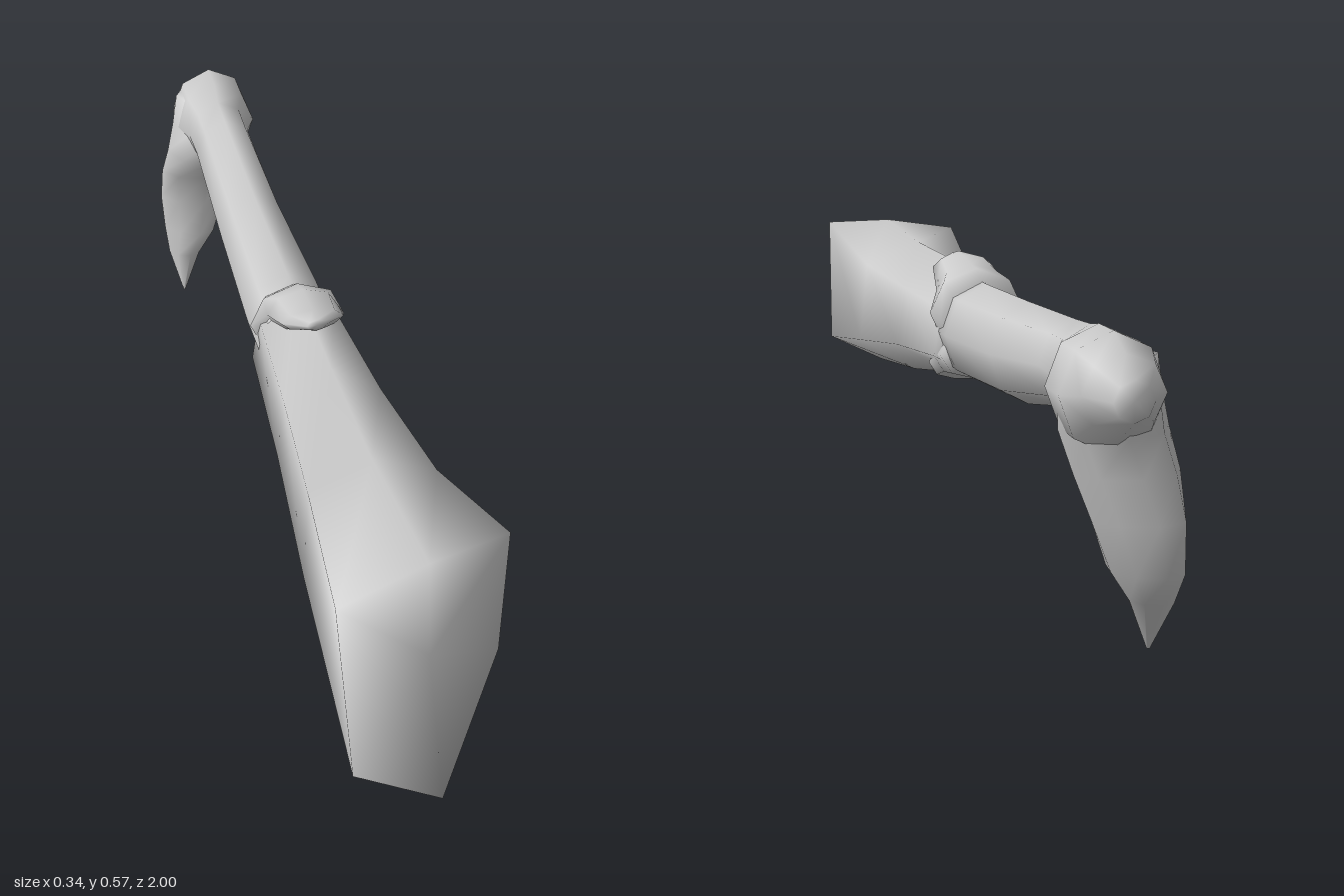
import * as THREE from 'three';

const material = new THREE.MeshStandardMaterial({ color: 0xcccccc, side: THREE.DoubleSide });

// Closed smooth skin over a row of rings; rings run counterclockwise seen from the start.
function skin(name, rings) {
  const n = rings[0].length;
  const positions = rings.flat(2);
  const index = [];
  for (let i = 0; i < rings.length - 1; i++) {
    for (let j = 0; j < n; j++) {
      const k = (j + 1) % n;
      const a = i * n + j, b = a + n, c = i * n + k, d = c + n;
      index.push(a, b, c, c, b, d);
    }
  }
  // end caps
  [0, rings.length - 1].forEach((r, end) => {
    const center = [0, 1, 2].map(q => rings[r].reduce((s, p) => s + p[q], 0) / n);
    const ci = positions.length / 3;
    positions.push(...center);
    for (let j = 0; j < n; j++) {
      const a = r * n + j, b = r * n + (j + 1) % n;
      if (end) index.push(ci, b, a);
      else index.push(ci, a, b);
    }
  });
  const geometry = new THREE.BufferGeometry();
  geometry.setAttribute('position', new THREE.Float32BufferAttribute(positions, 3));
  geometry.setIndex(index);
  geometry.computeVertexNormals();
  const mesh = new THREE.Mesh(geometry, material);
  mesh.name = name;
  return mesh;
}

// Eight-sided ring filling the box x0..x1, y0..y1 at depth z
function ringZ([z, x0, x1, y0, y1]) {
  return Array.from({ length: 8 }, (_, j) => {
    const t = j * Math.PI / 4;
    return [(x0 + x1) / 2 + Math.cos(t) * (x1 - x0) / 2, (y0 + y1) / 2 + Math.sin(t) * (y1 - y0) / 2, z];
  });
}

// Eight-sided ring filling the box x0..x1, z0..z1 at height y; skew swings the back towards -x
function ringY([y, x0, x1, z0, z1, skew = 0]) {
  return Array.from({ length: 8 }, (_, j) => {
    const t = j * Math.PI / 4;
    return [(x0 + x1) / 2 + Math.cos(t) * (x1 - x0) / 2 - skew * Math.sin(t), y,
      (z0 + z1) / 2 - Math.sin(t) * (z1 - z0) / 2];
  });
}

export function createModel() {
  const model = new THREE.Group();
  model.name = 'leg';

  // thigh: slanted six-sided hip end narrowing to the knee
  model.add(skin('thigh', [
    [[0.175, 0.25, 0.78], [0.175, 0.54, 0.785], [0.02, 0.537, 0.825],
      [-0.153, 0.507, 0.865], [-0.153, 0.243, 1], [0.01, 0.14, 1]],
    [[0.143, 0.29, 0.52], [0.125, 0.47, 0.52], [0.0, 0.52, 0.52],
      [-0.12, 0.46, 0.52], [-0.135, 0.28, 0.55], [0.0, 0.2, 0.58]],
    [[0.105, 0.33, 0.25], [0.09, 0.46, 0.25], [-0.01, 0.525, 0.25],
      [-0.105, 0.46, 0.25], [-0.12, 0.33, 0.25], [-0.01, 0.262, 0.25]],
    [[0.078, 0.36, -0.04], [0.065, 0.46, -0.04], [-0.015, 0.53, -0.04],
      [-0.095, 0.46, -0.04], [-0.11, 0.36, -0.04], [-0.015, 0.305, -0.04]],
  ]));

  // plates overlapping the knee above and below
  model.add(skin('kneecap', [
    [0.125, -0.03, 0.01, 0.53, 0.555],
    [0.085, -0.075, 0.055, 0.505, 0.553],
    [0.0, -0.085, 0.065, 0.44, 0.545],
    [-0.03, -0.115, 0.085, 0.36, 0.54],
    [-0.065, -0.1, 0.07, 0.36, 0.515],
  ].map(ringZ)));
  model.add(skin('calfTab', [
    [0.275, -0.035, 0.015, 0.247, 0.275],
    [0.18, -0.075, 0.045, 0.26, 0.34],
    [0.0, -0.1, 0.075, 0.3, 0.42],
    [-0.06, -0.1, 0.07, 0.31, 0.42],
  ].map(ringZ)));

  // shin running back into the ankle and heel
  model.add(skin('shin', [
    [0.0, -0.105, 0.07, 0.308, 0.515],
    [-0.1, -0.108, 0.068, 0.31, 0.518],
    [-0.4, -0.106, 0.045, 0.335, 0.533],
    [-0.7, -0.105, 0.032, 0.398, 0.553],
    [-0.78, -0.108, 0.032, 0.395, 0.56],
    [-0.84, -0.125, 0.058, 0.37, 0.572],
    [-0.92, -0.125, 0.057, 0.37, 0.575],
    [-0.955, -0.115, 0.03, 0.41, 0.545],
    [-1.0, -0.08, -0.01, 0.44, 0.51],
  ].map(ringZ)));

  // foot hanging down to a pointed toe
  model.add(skin('foot', [
    [0.53, -0.12, 0.02, -0.94, -0.84],
    [0.47, -0.135, 0.045, -0.965, -0.77],
    [0.4, -0.152, 0.04, -0.945, -0.775],
    [0.33, -0.165, 0.02, -0.945, -0.825, 0.01],
    [0.25, -0.17, -0.01, -0.95, -0.84, 0.02],
    [0.16, -0.165, -0.045, -0.95, -0.835, 0.02],
    [0.1, -0.16, -0.085, -0.91, -0.837, 0.01],
    [0.0, -0.134, -0.128, -0.845, -0.838],
  ].map(ringY)));

  return model;
}
